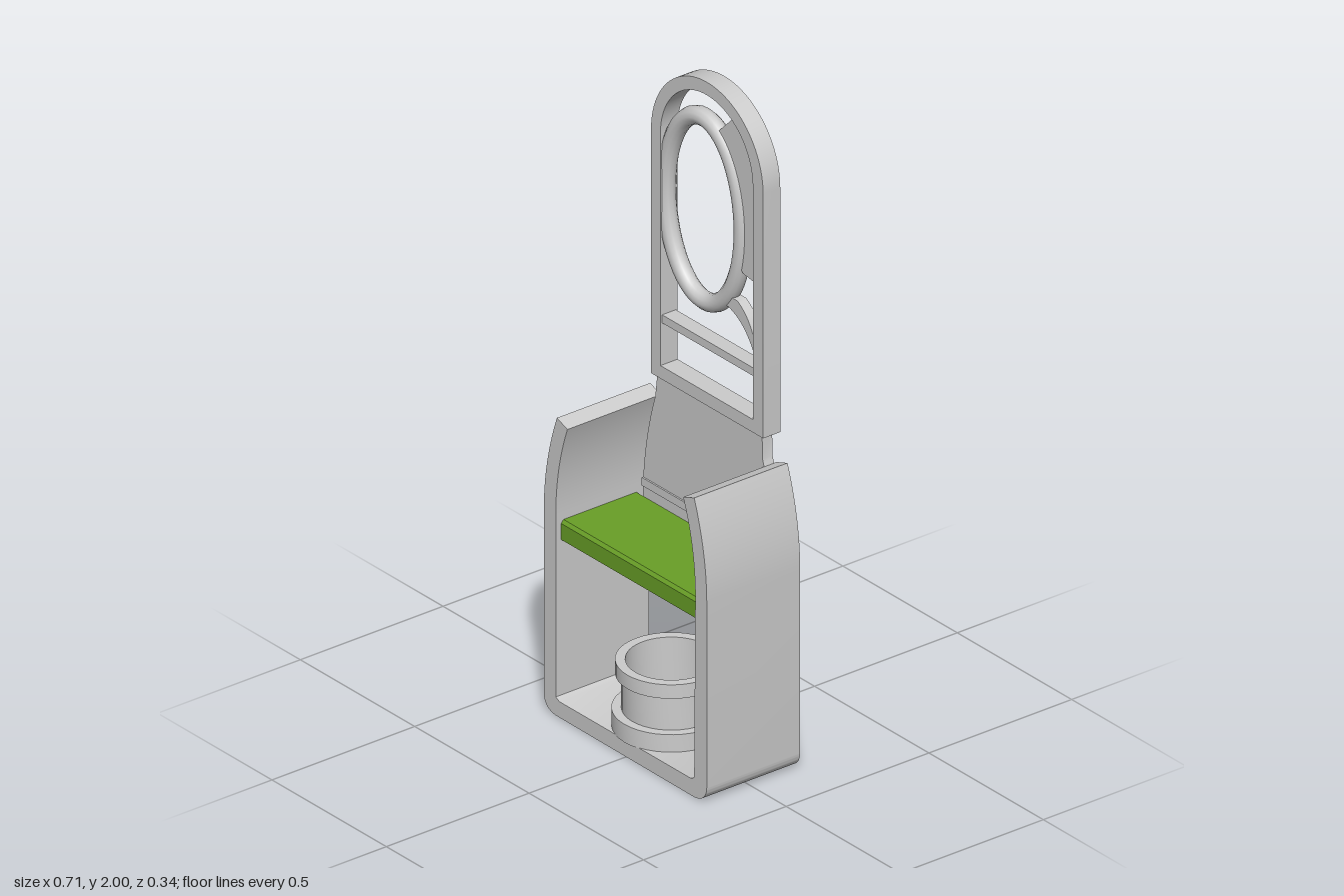
import * as THREE from 'three';
import { toCreasedNormals } from 'three/addons/utils/BufferGeometryUtils.js';

const grey = new THREE.MeshStandardMaterial({ color: 0xcccccc, side: THREE.DoubleSide });
const green = new THREE.MeshStandardMaterial({ color: 0x699f27 });

export function createModel() {
  const model = new THREE.Group();

  const add = (name, geometry, material = grey) => {
    const mesh = new THREE.Mesh(geometry, material);
    mesh.name = name;
    model.add(mesh);
    return mesh;
  };
  // Extrude a front-facing outline between two depths
  const slab = (name, shape, z0, z1, material) => {
    const g = new THREE.ExtrudeGeometry(shape, { depth: z1 - z0, bevelEnabled: false, curveSegments: 24 });
    g.translate(0, 0, z0);
    return add(name, toCreasedNormals(g, 0.6), material);
  };
  const box = (name, x0, x1, y0, y1, z0, z1) => {
    const g = new THREE.BoxGeometry(x1 - x0, y1 - y0, z1 - z0);
    g.translate((x0 + x1) / 2, (y0 + y1) / 2, (z0 + z1) / 2);
    return add(name, g);
  };

  // U-shaped housing: floor and two walls that lean in at the top
  const u = new THREE.Shape();
  u.moveTo(-0.3, 0.925);
  u.quadraticCurveTo(-0.357, 0.77, -0.357, 0.62);
  u.lineTo(-0.357, 0.055);
  u.quadraticCurveTo(-0.357, 0.005, -0.3, 0.003);
  u.lineTo(0.3, 0);
  u.quadraticCurveTo(0.355, 0.005, 0.355, 0.055);
  u.lineTo(0.355, 0.62);
  u.quadraticCurveTo(0.355, 0.77, 0.3, 0.925);
  u.lineTo(0.252, 0.908);
  u.quadraticCurveTo(0.305, 0.77, 0.305, 0.62);
  u.lineTo(0.3, 0.06);
  u.lineTo(0.285, 0.052);
  u.lineTo(-0.29, 0.052);
  u.lineTo(-0.305, 0.06);
  u.lineTo(-0.305, 0.62);
  u.quadraticCurveTo(-0.305, 0.77, -0.254, 0.908);
  u.closePath();
  slab('housing', u, -0.165, 0.162);

  // Green shelf with softened long edges, outlined from the side
  const s = new THREE.Shape();
  [[-0.12, 0.545], [-0.105, 0.53], [0.13, 0.53], [0.143, 0.54], [0.143, 0.59], [0.135, 0.6], [-0.12, 0.6]]
    .forEach(([z, y], i) => (i ? s.lineTo(-z, y) : s.moveTo(-z, y)));
  s.closePath();
  const shelf = new THREE.ExtrudeGeometry(s, { depth: 0.61, bevelEnabled: false });
  shelf.rotateY(Math.PI / 2);
  shelf.translate(-0.307, 0, 0);
  add('shelf', shelf, green);

  // Neck plate flaring down to the shelf
  const n = new THREE.Shape();
  n.moveTo(-0.275, 0.6);
  n.lineTo(-0.275, 0.65);
  n.quadraticCurveTo(-0.265, 0.8, -0.222, 0.93);
  n.lineTo(-0.212, 1.01);
  n.lineTo(0.245, 1.01);
  n.lineTo(0.247, 0.93);
  n.quadraticCurveTo(0.29, 0.8, 0.3, 0.65);
  n.lineTo(0.3, 0.6);
  n.closePath();
  slab('neckPlate', n, -0.155, -0.12);
  box('neckRib', -0.275, 0.3, 0.635, 0.66, -0.168, -0.115);

  // Arched upright frame with an arched opening
  const arch = (path, x0, x1, y0, yc) => {
    path.moveTo(x0, y0);
    path.lineTo(x1, y0);
    path.lineTo(x1, yc);
    path.absarc((x0 + x1) / 2, yc, (x1 - x0) / 2, 0, Math.PI, false);
    path.closePath();
    return path;
  };
  const frame = arch(new THREE.Shape(), -0.233, 0.257, 1, 1.755);
  frame.holes.push(arch(new THREE.Path(), -0.192, 0.212, 1.04, 1.758));
  slab('archedFrame', frame, -0.174, -0.114);
  box('crossbar', -0.2, 0.22, 1.17, 1.195, -0.168, -0.12);

  // Oval ring, its left side sunk into the frame
  const cx = -0.035, cy = 1.58, rx = 0.168, ry = 0.283;
  const oval = Array.from({ length: 32 }, (_, i) => {
    const a = (i / 32) * Math.PI * 2;
    return new THREE.Vector3(cx + rx * Math.cos(a), cy + ry * Math.sin(a), -0.144);
  });
  add('ovalRing', new THREE.TubeGeometry(new THREE.CatmullRomCurve3(oval, true), 72, 0.027, 12, true));

  // Web joining the ring to the upper corner of the frame
  const w = new THREE.Shape();
  w.moveTo(0.125, 1.94);
  w.lineTo(0.035, 1.85);
  for (let a = 1.15; a > -0.4; a -= 0.1) w.lineTo(cx + rx * Math.cos(a), cy + ry * Math.sin(a));
  w.lineTo(0.15, 1.46);
  w.lineTo(0.22, 1.45);
  w.lineTo(0.22, 1.76);
  w.quadraticCurveTo(0.215, 1.88, 0.125, 1.94);
  slab('cornerWeb', w, -0.16, -0.13);

  // Curved brace from the ring down to the crossbar end
  const b = new THREE.Shape();
  b.moveTo(0.06, 1.335);
  b.quadraticCurveTo(0.165, 1.325, 0.215, 1.19);
  b.quadraticCurveTo(0.205, 1.32, 0.125, 1.365);
  b.lineTo(0.06, 1.365);
  b.closePath();
  slab('curvedBrace', b, -0.16, -0.13);

  // Flanged hollow cup on the floor
  const profile = [
    [0, 0.05], [0.164, 0.05], [0.164, 0.106], [0.137, 0.106], [0.137, 0.212],
    [0.154, 0.212], [0.154, 0.255], [0.126, 0.255], [0.126, 0.065], [0, 0.065],
  ].map(([r, y]) => new THREE.Vector2(r, y));
  const cup = add('cup', toCreasedNormals(new THREE.LatheGeometry(profile, 40), 0.6));
  cup.position.set(0.005, 0, 0.006);

  return model;
}
